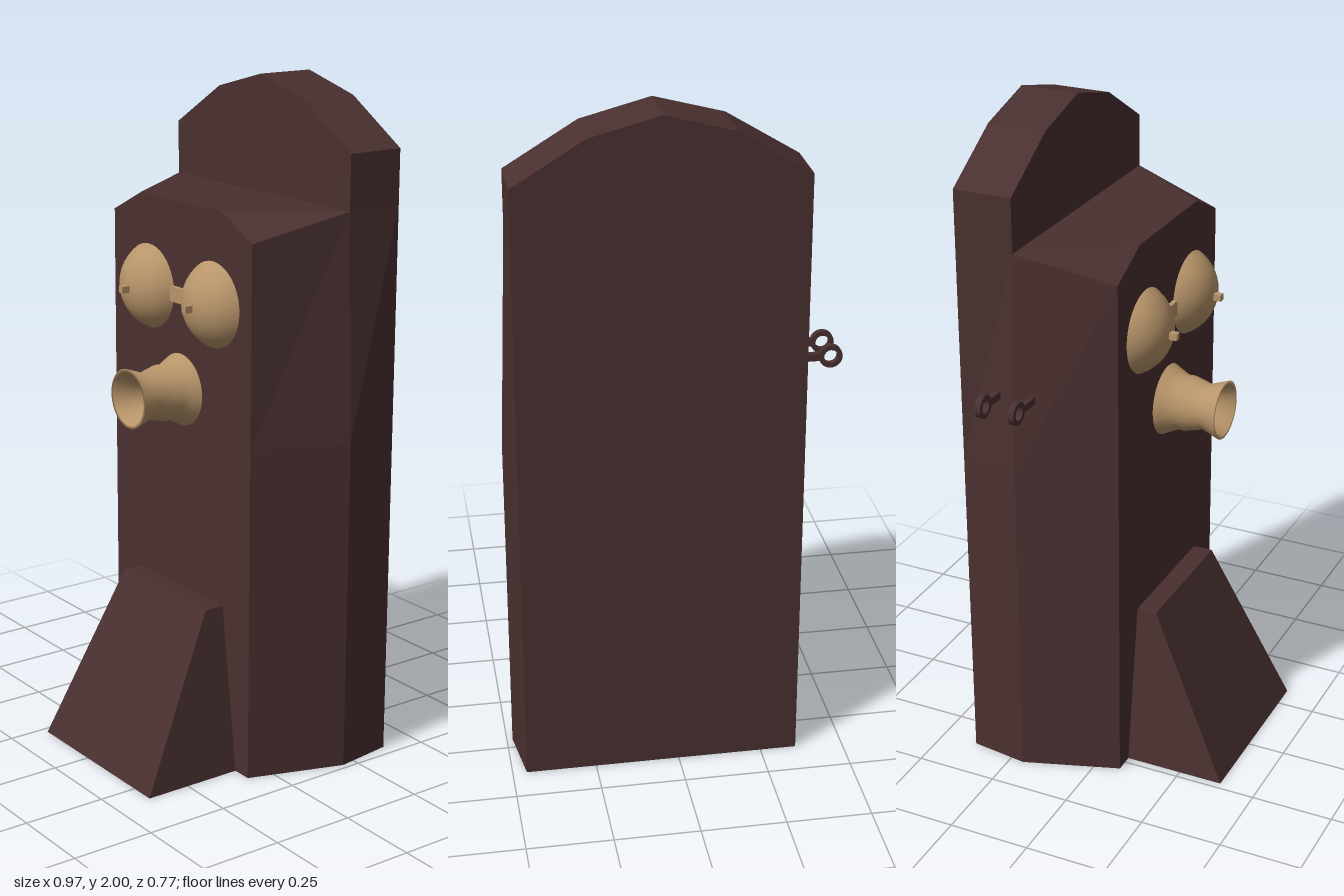
import * as THREE from 'three';

const wood = new THREE.MeshStandardMaterial({ color: 0x4a3030, name: 'darkWood' });
const brass = new THREE.MeshStandardMaterial({ color: 0xb8956a, name: 'brass', side: THREE.DoubleSide });

// Stacks rings of [x, y, z] (anticlockwise from above), with flat faces and a given top cap
function loft(rings, topTriangles) {
  const n = rings[0].length, out = [];
  const tri = (a, b, c) => out.push(...a, ...b, ...c);
  for (let i = 0; i < rings.length - 1; i++) {
    const lo = rings[i], up = rings[i + 1];
    for (let j = 0; j < n; j++) {
      const k = (j + 1) % n;
      tri(lo[j], lo[k], up[k]);
      tri(lo[j], up[k], up[j]);
    }
  }
  const top = rings[rings.length - 1];
  for (const [a, b, c] of topTriangles) tri(top[a], top[b], top[c]);
  for (let j = 1; j < n - 1; j++) tri(rings[0][0], rings[0][j + 1], rings[0][j]);
  const g = new THREE.BufferGeometry();
  g.setAttribute('position', new THREE.Float32BufferAttribute(out, 3));
  g.computeVertexNormals();
  return g;
}

const BACK = -0.385, MID = -0.207, FRONT = 0.077;

// Eight-point case section: back, shoulder, front corner and inner front point on each side
function caseRing(y, shoulder, cornerY = y) {
  const half = [[0.408, y, BACK], [shoulder, y, MID], [0.337, cornerY, FRONT], [0.195, y, FRONT]];
  const left = half.map(([x, h, z]) => [-x, h, z]);
  return [half[0], ...left, half[3], half[2], half[1]];
}

export function createModel() {
  const root = new THREE.Group();
  root.name = 'wallTelephone';
  const phone = new THREE.Group();
  phone.name = 'telephone';
  phone.position.x = 0.05;
  root.add(phone);

  const add = (name, geometry, material, x = 0, y = 0, z = 0, parent = phone) => {
    const mesh = new THREE.Mesh(geometry, material);
    mesh.name = name;
    mesh.position.set(x, y, z);
    parent.add(mesh);
    return mesh;
  };

  // Wooden case with tapered shoulders and clipped upper front corners
  add('case', loft(
    [caseRing(0, 0.433), caseRing(1.0, 0.433), caseRing(1.66, 0.408, 1.59)],
    [[0, 1, 2], [0, 2, 7], [2, 3, 4], [2, 4, 5], [2, 5, 7], [7, 5, 6]],
  ), wood);

  // Arched crown along the back
  const arch = new THREE.Shape([
    [-0.408, 1.66], [0.408, 1.66], [0.408, 1.82], [0.2, 1.947], [0, 2], [-0.2, 1.947], [-0.408, 1.82],
  ].map(([x, y]) => new THREE.Vector2(x, y)));
  add('crown', new THREE.ExtrudeGeometry(arch, { depth: MID - BACK, bevelEnabled: false }), wood, 0, 0, BACK);

  // Sloping writing shelf
  const shelfRing = (y, w, z) => [[w, y, FRONT], [-w, y, FRONT], [-w, y, z], [w, y, z]];
  add('writingShelf', loft(
    [shelfRing(0, 0.277, 0.385), shelfRing(0.5, 0.21, 0.138)],
    [[0, 1, 2], [0, 2, 3]],
  ), wood);

  // Pair of domed bells with centre pins
  const R = 0.139, depth = 0.078;
  const dome = new THREE.SphereGeometry(R, 40, 12, 0, Math.PI * 2, 0, Math.acos((R - depth) / R));
  dome.rotateX(Math.PI / 2);
  for (const [side, x] of [['right', -0.157], ['left', 0.157]]) {
    add(side + 'Bell', dome, brass, x, 1.388, FRONT + depth - R);
    add(side + 'BellPin', new THREE.BoxGeometry(0.02, 0.02, 0.026), brass, x, 1.388, 0.165);
  }
  add('bellBridge', new THREE.BoxGeometry(0.064, 0.044, 0.02), brass, 0, 1.388, 0.081);

  // Hollow flared mouthpiece, outer wall then inner wall
  const profile = [
    [0.107, 0], [0.094, 0.025], [0.082, 0.05], [0.083, 0.072], [0.068, 0.128], [0.088, 0.183],
    [0.078, 0.183], [0.055, 0.125], [0.042, 0.06], [0.04, 0.002],
  ].map(([r, h]) => new THREE.Vector2(r, h));
  const mouthpiece = new THREE.LatheGeometry(profile, 40);
  mouthpiece.rotateX(Math.PI / 2);
  add('mouthpiece', mouthpiece, brass, 0, 1.107, FRONT);

  // Two hooks with ring ends on the right side
  for (const z of [-0.261, -0.156]) {
    const hook = new THREE.Group();
    hook.name = 'receiverHook';
    hook.position.set(-0.503, 1.232, z);
    phone.add(hook);
    const ring = new THREE.Shape().absarc(0, 0, 0.034, 0, Math.PI * 2);
    ring.holes.push(new THREE.Path().absarc(0, 0, 0.02, 0, Math.PI * 2, true));
    add('hookRing', new THREE.ExtrudeGeometry(ring, { depth: 0.018, bevelEnabled: false, curveSegments: 12 }),
      wood, 0, 0, -0.009, hook);
    add('hookArm', new THREE.BoxGeometry(0.09, 0.022, 0.018), wood, 0.071, 0, 0, hook);
  }
  return root;
}
